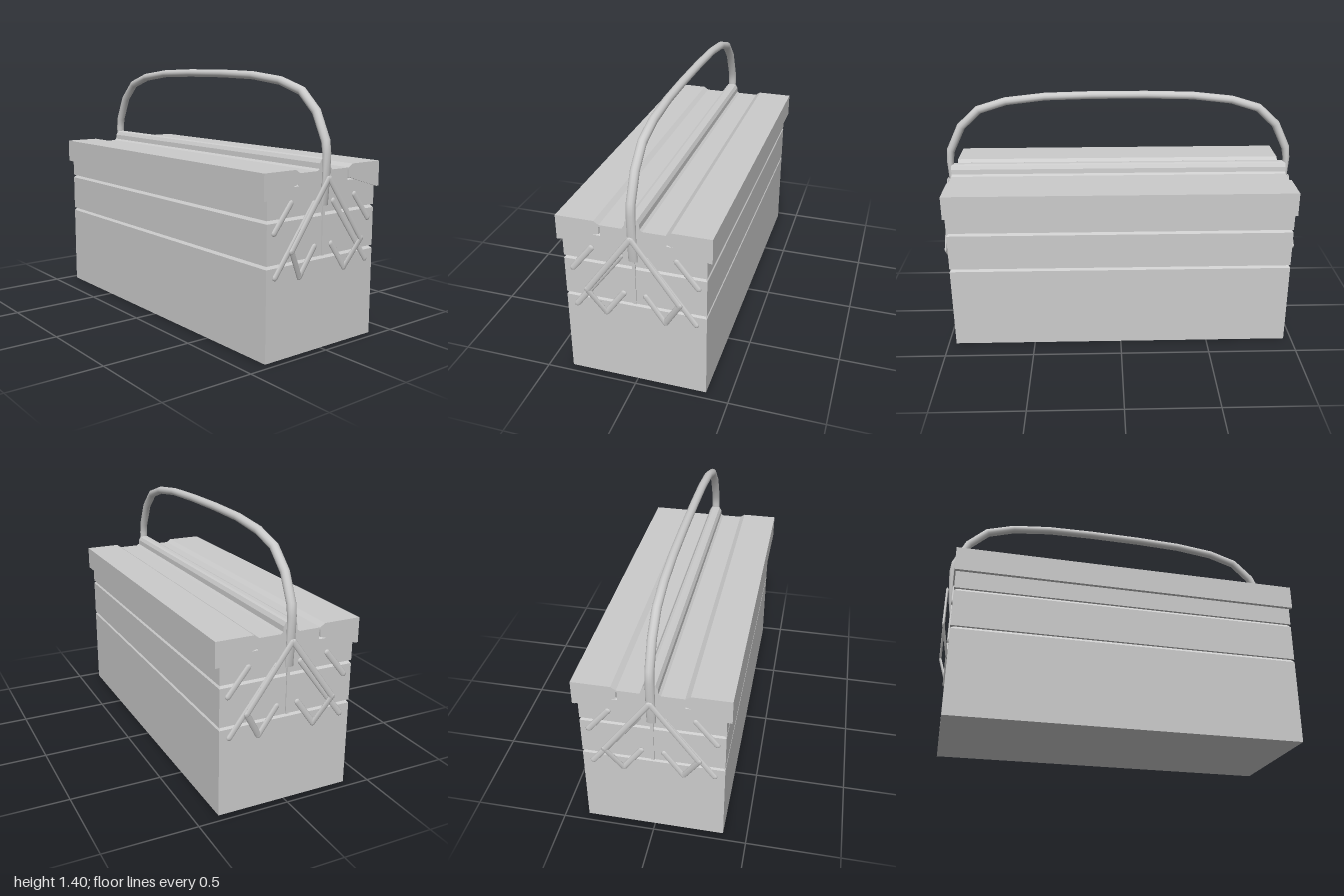
import * as THREE from 'three';

const grey = new THREE.MeshStandardMaterial({ color: 0xcccccc });
const flat = new THREE.MeshStandardMaterial({ color: 0xcccccc, flatShading: true });

function add(parent, name, geometry, material) {
  const mesh = new THREE.Mesh(geometry, material);
  mesh.name = name;
  parent.add(mesh);
  return mesh;
}

// Closed skin over a list of equal-sized rings of Vector3
function loft(rings) {
  const n = rings[0].length, pos = [], idx = [];
  rings.forEach(r => r.forEach(p => pos.push(p.x, p.y, p.z)));
  for (let i = 0; i < rings.length - 1; i++) {
    for (let j = 0; j < n; j++) {
      const a = i * n + j, b = i * n + (j + 1) % n;
      idx.push(a, a + n, b, b, a + n, b + n);
    }
  }
  const last = (rings.length - 1) * n;
  for (let j = 1; j < n - 1; j++) {
    idx.push(0, j, j + 1, last, last + j + 1, last + j);
  }
  const g = new THREE.BufferGeometry();
  g.setAttribute('position', new THREE.Float32BufferAttribute(pos, 3));
  g.setIndex(idx);
  g.computeVertexNormals();
  return g;
}

// Rectangular box section: rows of [y, inset]
function boxLoft(w, d, levels) {
  return loft(levels.map(([y, k]) =>
    [[1, 1], [-1, 1], [-1, -1], [1, -1]].map(([sx, sz]) =>
      new THREE.Vector3(sx * (w - k), y, sz * (d - k)))));
}

// Symmetric profile of [z, y] points, run along x
function profileAlongX(half, halfLength) {
  const pts = [...half, ...half.slice().reverse().map(([z, y]) => [-z, y])];
  const shape = new THREE.Shape(pts.map(p => new THREE.Vector2(...p)));
  const g = new THREE.ExtrudeGeometry(shape, { depth: halfLength * 2, bevelEnabled: false });
  return g.rotateY(-Math.PI / 2).translate(halfLength, 0, 0);
}

// Flattened round-ended link between two points
function link(parent, name, a, b, radius, thickness) {
  const p = new THREE.Vector3(...a), q = new THREE.Vector3(...b);
  const dir = q.clone().sub(p), len = dir.length();
  dir.normalize();
  const side = new THREE.Vector3().crossVectors(dir, new THREE.Vector3(1, 0, 0)).normalize();
  const out = new THREE.Vector3().crossVectors(side, dir);
  const g = new THREE.CapsuleGeometry(radius, len, 4, 10);
  g.scale(1, 1, thickness / radius);
  g.applyMatrix4(new THREE.Matrix4().makeBasis(side, dir, out).setPosition(p.add(q).multiplyScalar(0.5)));
  add(parent, name, g, grey);
}

// Arched carrying handle: rows of [x, y, in-plane radius], mirrored in x
function handleGeometry() {
  const half = [
    [0.964, 0.74, 0.008], [0.971, 0.88, 0.014], [0.972, 1.0, 0.02], [0.963, 1.06, 0.023],
    [0.895, 1.2, 0.024], [0.79, 1.297, 0.024], [0.635, 1.345, 0.023],
    [0.415, 1.37, 0.022], [0.15, 1.377, 0.022]
  ];
  const path = [...half, ...half.slice().reverse().map(([x, y, r]) => [-x, y, r])];
  const rings = path.map(([x, y, r], i) => {
    const a = path[Math.max(i - 1, 0)], b = path[Math.min(i + 1, path.length - 1)];
    const t = new THREE.Vector2(b[0] - a[0], b[1] - a[1]).normalize();
    return Array.from({ length: 12 }, (_, k) => {
      const ang = k / 12 * Math.PI * 2, c = Math.cos(ang) * r;
      return new THREE.Vector3(x - t.y * c, y + t.x * c, -Math.sin(ang) * 0.024);
    });
  });
  return loft(rings);
}

export function createModel() {
  const model = new THREE.Group();
  model.name = 'cantileverToolbox';

  // Base box and two stacked trays, each with a chamfered upper rim
  add(model, 'baseBox', boxLoft(0.957, 0.373, [[0, 0], [0.468, 0], [0.485, 0.015]]), flat);
  add(model, 'lowerTray', boxLoft(0.957, 0.373, [[0.485, 0], [0.688, 0], [0.705, 0.015]]), flat);
  add(model, 'upperTray', boxLoft(0.957, 0.373, [[0.705, 0], [0.85, 0], [0.86, 0.01]]), flat);
  add(model, 'trayCrown', profileAlongX([[0.17, 0.84], [0.17, 0.91]], 0.957), flat);

  // Lid with overhanging sides and a sunken middle
  add(model, 'lid', profileAlongX([
    [0.172, 0.905], [0.172, 0.865], [0.385, 0.8], [0.4, 0.8],
    [0.4, 0.933], [0.197, 0.933], [0.17, 0.915]
  ], 0.965), flat);
  add(model, 'centreRidge', profileAlongX([
    [0.055, 0.913], [0.04, 0.925], [0.038, 0.952], [0.026, 0.972], [0.012, 0.977]
  ], 0.965), flat);

  add(model, 'handle', handleGeometry(), grey);

  // Folding linkage on both ends
  for (const s of [1, -1]) {
    const linkage = new THREE.Group();
    linkage.name = s > 0 ? 'leftLinkage' : 'rightLinkage';
    model.add(linkage);
    const near = s * 0.959, far = s * 0.993;
    for (const f of [1, -1]) {
      const bar = (name, a, b) => link(linkage, name,
        [a[0], a[1], a[2] * f], [b[0], b[1], b[2] * f], 0.016, 0.007);
      bar('longArm', [far, 0.875, 0.005], [far, 0.545, 0.243]);
      bar('elbowLink', [far, 0.545, 0.243], [near, 0.4, 0.158]);
      bar('lowerLink', [near, 0.4, 0.158], [near, 0.537, 0.06]);
      bar('innerArm', [near, 0.755, 0.068], [near, 0.422, 0.318]);
      bar('upperLink', [near, 0.773, 0.222], [near, 0.64, 0.328]);
    }
    const post = add(linkage, 'centrePost', new THREE.BoxGeometry(0.012, 0.32, 0.016), flat);
    post.position.set(s * 0.957, 0.645, 0);
    const pivot = add(linkage, 'pivotPin', new THREE.CylinderGeometry(0.012, 0.012, 0.04, 10), grey);
    pivot.rotation.z = Math.PI / 2;
    pivot.position.set(s * 0.978, 0.875, 0);
  }
  return model;
}
